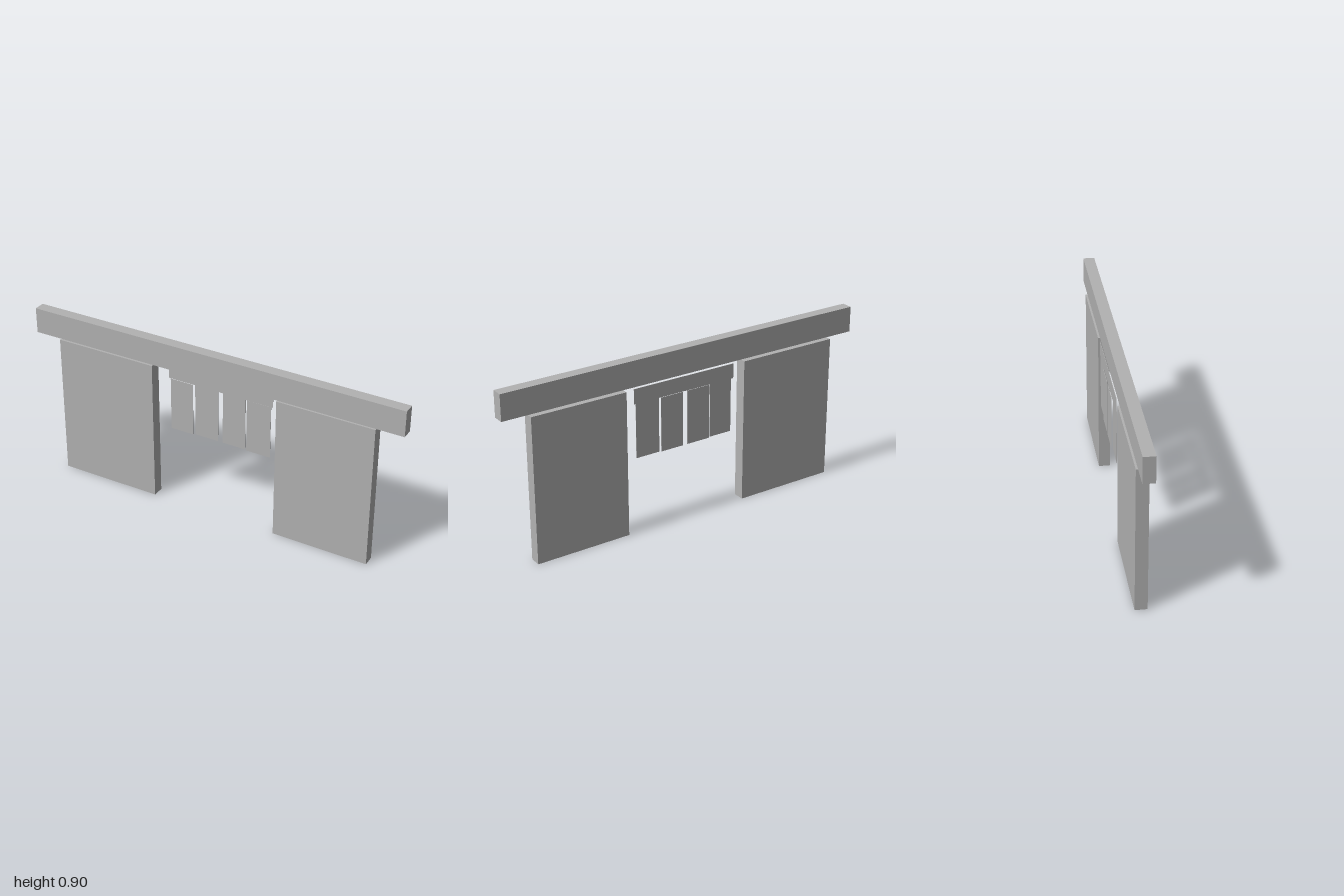
import * as THREE from 'three';

export function createModel() {
  const group = new THREE.Group();
  const grey = new THREE.MeshStandardMaterial({ color: 0xb2b2b2 });
  grey.name = 'plain grey';

  // Box given by its extents along each axis
  function slab(name, [x0, x1], [y0, y1], [z0, z1]) {
    const mesh = new THREE.Mesh(new THREE.BoxGeometry(x1 - x0, y1 - y0, z1 - z0), grey);
    mesh.position.set((x0 + x1) / 2, (y0 + y1) / 2, (z0 + z1) / 2);
    mesh.name = name;
    group.add(mesh);
  }

  // Long beam across the top
  slab('lintel', [-1, 1], [0.765, 0.898], [-0.025, 0.033]);

  // Two solid panels under the beam
  slab('rightPanel', [-0.867, -0.326], [0, 0.754], [-0.032, 0.028]);
  slab('leftPanel', [0.353, 0.856], [0, 0.754], [-0.032, 0.026]);

  // Thin hanging curtains: a header sheet and two strips each
  const thin = 0.002;
  const sheet = (name, x, y, z) => slab(name, x, y, [z - thin / 2, z + thin / 2]);
  sheet('rightCurtainHeader', [-0.262, 0.021], [0.68, 0.757], -0.028);
  sheet('leftCurtainHeader', [0.021, 0.31], [0.68, 0.757], -0.027);
  const strips = [
    [-0.251, -0.126, -0.024],
    [-0.117, 0.011, -0.031],
    [0.037, 0.162, -0.031],
    [0.171, 0.301, -0.026],
  ];
  strips.forEach(([x0, x1, z], i) => sheet(`curtainStrip${i + 1}`, [x0, x1], [0.398, 0.68], z));

  return group;
}
